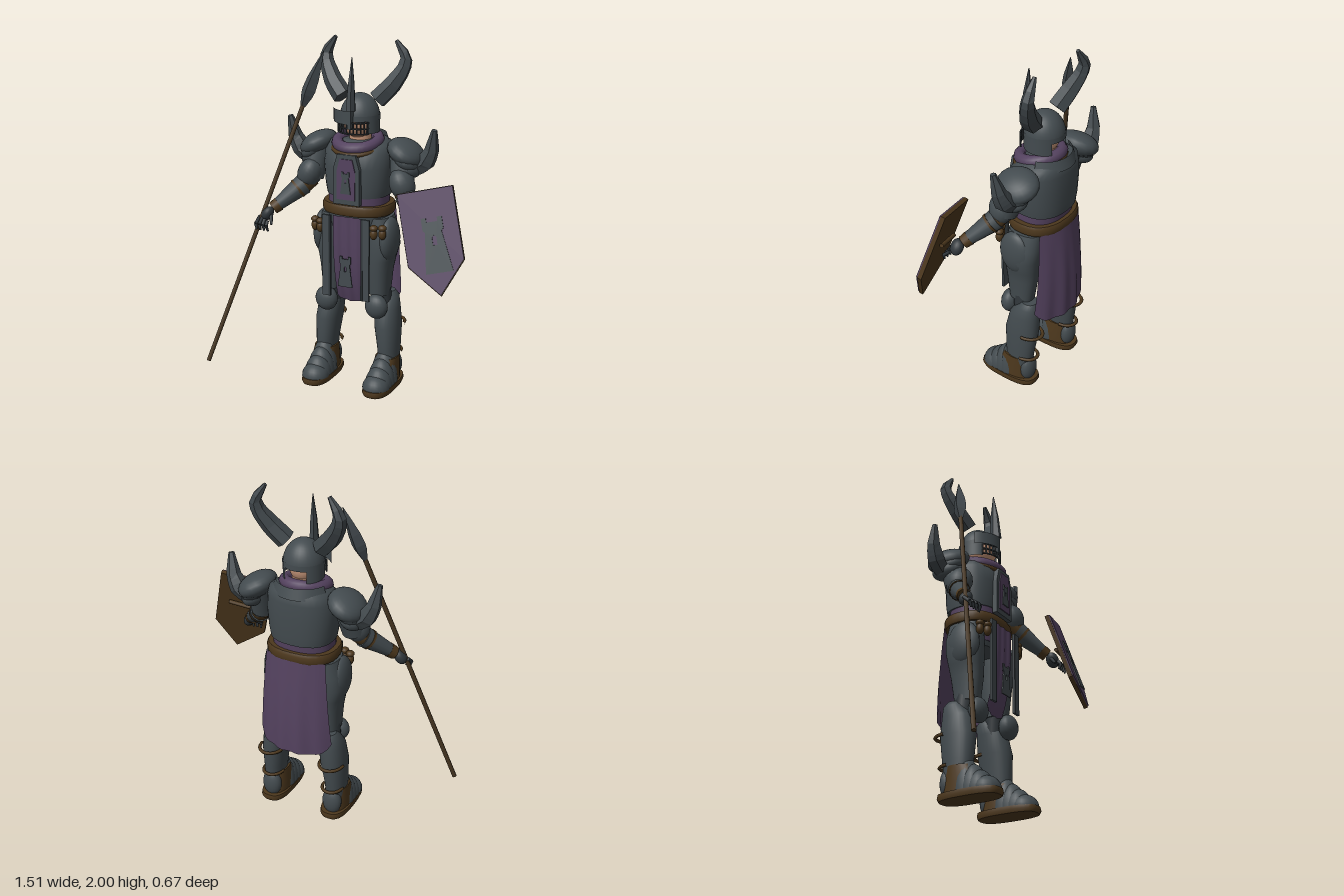
import * as THREE from 'three';

const mat = (name, color, side = THREE.FrontSide) => {
  const m = new THREE.MeshStandardMaterial({ color, side });
  m.name = name;
  return m;
};
const V = (x, y, z) => new THREE.Vector3(x, y, z);

export function createModel() {
  const root = new THREE.Group();
  root.name = 'armouredGuard';
  const body = new THREE.Group(); // symmetric about its own x = 0
  body.name = 'body';
  body.position.x = 0.015;
  root.add(body);

  const steel = mat('steel', 0x434b4f, THREE.DoubleSide);
  const spikeSteel = mat('facetedSteel', 0x41484c);
  spikeSteel.flatShading = true;
  const dark = mat('darkSteel', 0x30363a);
  const purple = mat('purpleCloth', 0x54425f, THREE.DoubleSide);
  const leather = mat('leather', 0x4d381d);
  const wood = mat('wood', 0x493823);
  const skin = mat('skin', 0xc8977a);

  const add = (name, geo, m, parent = body, x = 0, y = 0, z = 0) => {
    const mesh = new THREE.Mesh(geo, m);
    mesh.name = name;
    mesh.position.set(x, y, z);
    parent.add(mesh);
    return mesh;
  };
  const ball = (name, m, p, r) => {
    const b = add(name, new THREE.SphereGeometry(1, 20, 14), m, body, ...p);
    b.scale.set(...r);
    return b;
  };
  // Tapered cylinder between two points
  const limb = (name, a, b, r0, r1, m, parent = body, sides = 14) => {
    const d = b.clone().sub(a);
    const mesh = add(name, new THREE.CylinderGeometry(r1, r0, d.length(), sides), m, parent);
    mesh.position.copy(a).addScaledVector(d, 0.5);
    mesh.quaternion.setFromUnitVectors(V(0, 1, 0), d.normalize());
    return mesh;
  };
  // Closed solid from rounded sections [y, rx, rz, cx, cz], bottom to top
  const loft = (rings, power = 2.4, n = 28) => {
    const pos = [], idx = [];
    const ring = ([y, rx, rz, cx, cz]) => {
      for (let j = 0; j < n; j++) {
        const a = j / n * Math.PI * 2, c = Math.cos(a), s = Math.sin(a);
        pos.push(cx + rx * Math.sign(c) * Math.abs(c) ** (2 / power), y,
          cz + rz * Math.sign(s) * Math.abs(s) ** (2 / power));
      }
    };
    rings.forEach(ring);
    for (let i = 0; i < rings.length - 1; i++) for (let j = 0; j < n; j++) {
      const a = i * n + j, b = i * n + (j + 1) % n;
      idx.push(a, a + n, b, b, a + n, b + n);
    }
    [rings[0], rings[rings.length - 1]].forEach((r, top) => {
      const s = pos.length / 3;
      ring(r);
      pos.push(r[3], r[0], r[4]);
      for (let j = 0; j < n; j++) {
        const a = s + j, b = s + (j + 1) % n;
        if (top) idx.push(s + n, b, a); else idx.push(s + n, a, b);
      }
    });
    const g = new THREE.BufferGeometry();
    g.setAttribute('position', new THREE.Float32BufferAttribute(pos, 3));
    g.setIndex(idx);
    g.computeVertexNormals();
    return g;
  };
  // Faceted horn along a curve, radii spread evenly along it, ends closed
  const horn = (name, pts, radii, parent = body, sides = 6) => {
    const curve = new THREE.CatmullRomCurve3(pts, false, 'catmullrom', 0.1), seg = 10;
    const g = new THREE.TubeGeometry(curve, seg, 1, sides), p = g.attributes.position, v = V(0, 0, 0);
    for (let i = 0; i <= seg; i++) {
      const c = curve.getPointAt(i / seg), t = i <= 1 ? 0 : i >= seg - 1 ? 1 : i / seg;
      const to = curve.getPointAt(t), f = t * (radii.length - 1), k = Math.min(radii.length - 2, Math.floor(f));
      const r = i % seg === 0 ? 0 : THREE.MathUtils.lerp(radii[k], radii[k + 1], f - k);
      for (let j = 0; j <= sides; j++) {
        const q = i * (sides + 1) + j;
        v.fromBufferAttribute(p, q).sub(c).multiplyScalar(r).add(to);
        p.setXYZ(q, v.x, v.y, v.z);
      }
    }
    g.computeVertexNormals();
    return add(name, g, spikeSteel, parent);
  };
  const shape = pts => new THREE.Shape(pts.map(p => new THREE.Vector2(...p)));
  const plate = (pts, depth) => new THREE.ExtrudeGeometry(shape(pts), { depth, bevelEnabled: false });
  // Heraldic tower with a door hole
  const tower = (name, h, parent, x, y, z) => {
    const s = shape([[-0.25, 0], [0.25, 0], [0.15, 0.74], [0.19, 0.78], [0.19, 1], [0.1, 1], [0.1, 0.92],
      [-0.1, 0.92], [-0.1, 1], [-0.19, 1], [-0.19, 0.78], [-0.15, 0.74]]);
    s.holes.push(new THREE.Path([[-0.04, 0.5], [-0.04, 0.64], [0, 0.68], [0.04, 0.64], [0.04, 0.5]].map(p => new THREE.Vector2(...p))));
    const t = add(name, new THREE.ExtrudeGeometry(s, { depth: 0.007, bevelEnabled: false }), steel, parent, x, y, z);
    t.scale.set(h, h, 1);
  };
  // Hanging cloth: f(u, t) gives [x, y, z], u from -1 to 1, t from top to bottom
  const cloth = (name, f) => {
    const g = new THREE.PlaneGeometry(2, 1, 24, 14), p = g.attributes.position;
    for (let i = 0; i < p.count; i++) p.setXYZ(i, ...f(p.getX(i), 0.5 - p.getY(i)));
    g.computeVertexNormals();
    add(name, g, purple);
  };

  // Torso, belt and cloth
  add('tunic', loft([[0.93, 0.17, 0.13, 0, -0.13], [1.2, 0.174, 0.148, 0, -0.137]]), purple);
  add('cuirass', loft([[1.135, 0.18, 0.154, 0, -0.14], [1.19, 0.19, 0.16, 0, -0.14], [1.3, 0.2, 0.163, 0, -0.14],
    [1.38, 0.195, 0.155, 0, -0.145], [1.425, 0.178, 0.13, 0, -0.165], [1.445, 0.14, 0.1, 0, -0.175]]), steel);
  add('backPlateRim', new THREE.CylinderGeometry(0.15, 0.17, 0.06, 20, 1, true, Math.PI * 0.6, Math.PI * 0.8), steel, body, 0, 1.445, -0.14);
  add('belt', loft([[1.03, 0.2, 0.16, 0, -0.135], [1.045, 0.207, 0.168, 0, -0.135], [1.075, 0.207, 0.168, 0, -0.135],
    [1.09, 0.2, 0.16, 0, -0.135]]), leather);
  add('fauld', loft([[0.9, 0.17, 0.12, 0, -0.13], [1.03, 0.19, 0.14, 0, -0.13]]), steel);
  const collar = (name, r, tube, m, y) => {
    const c = add(name, new THREE.TorusGeometry(r, tube, 10, 32), m, body, 0, y, -0.115);
    c.rotation.x = Math.PI / 2 + 0.22;
  };
  collar('scarf', 0.114, 0.034, purple, 1.437);
  collar('gorgetStrap', 0.139, 0.013, leather, 1.412);
  add('chestFrame', plate([[-0.08, 1.1], [0.08, 1.1], [0.08, 1.3], [0.055, 1.385], [-0.055, 1.385], [-0.08, 1.3]], 0.03), steel, body, 0, 0, 0.008);
  add('chestPanel', plate([[-0.056, 1.13], [0.056, 1.13], [0.056, 1.29], [0.038, 1.36], [-0.038, 1.36], [-0.056, 1.29]], 0.006), purple, body, 0, 0, 0.038);
  tower('chestTower', 0.125, body, 0, 1.165, 0.043);
  cloth('frontTabard', (u, t) => [u * 0.085, 1.03 - 0.5 * t - 0.02 * t * (1 - u * u), 0.035 - 0.06 * t ** 3 + 0.004 * Math.cos(u * 9)]);
  tower('tabardTower', 0.18, body, 0, 0.62, 0.045);
  cloth('rearCape', (u, t) => {
    const x = u * (0.18 + 0.04 * t);
    return [x, 1.04 - 0.57 * t + 0.06 * t * u ** 8, -0.3 - 0.033 * Math.sin(t * 1.8) + 1.75 * x * x + 0.006 * t * Math.cos(u * 12)];
  });

  // Neck, head and helmet
  limb('neck', V(0, 1.4, -0.15), V(0, 1.54, -0.14), 0.065, 0.062, skin);
  ball('face', skin, [0, 1.55, -0.125], [0.088, 0.1, 0.098]);
  const helmet = new THREE.Group();
  helmet.name = 'helmet';
  helmet.position.set(0, 0, -0.14);
  body.add(helmet);
  const dome = add('dome', new THREE.SphereGeometry(0.112, 28, 12, 0, Math.PI * 2, 0, Math.PI / 2), steel, helmet, 0, 1.565, 0);
  dome.scale.y = 1.21;
  const wrap = (name, r, h, y, from, sweep) =>
    add(name, new THREE.CylinderGeometry(r, r, h, 24, 1, true, from, sweep), steel, helmet, 0, y, 0);
  wrap('brim', 0.114, 0.03, 1.572, 0, Math.PI * 2);
  for (const s of [-1, 1]) wrap('cheekGuard', 0.112, 0.085, 1.53, s > 0 ? 0.75 : -2.55, 1.8);
  wrap('visorFlap', 0.146, 0.075, 1.583, -1.15, 1.1);
  for (const y of [1.492, 1.522, 1.555]) {
    const bar = add('grillRail', new THREE.TorusGeometry(0.115, 0.005, 5, 18, 1.9), dark, helmet, 0, y, 0.018);
    bar.rotation.set(Math.PI / 2, 0, Math.PI / 2 - 0.95);
  }
  for (let i = -5; i <= 5; i++) {
    const x = 0.115 * Math.sin(i * 0.18), z = 0.115 * Math.cos(i * 0.18) + 0.018;
    limb('grillBar', V(x, 1.49, z), V(x, 1.56, z), 0.0045, 0.0045, dark, helmet, 5);
  }
  add('noseRidge', new THREE.BoxGeometry(0.022, 0.13, 0.035), steel, helmet, 0, 1.585, 0.128);
  horn('crestSpike', [V(0, 1.62, -0.02), V(0, 1.76, -0.026), V(0, 1.91, -0.035)], [0.038, 0.026, 0.003]).scale.x = 0.7;

  for (const s of [-1, 1]) {
    const P = (x, y, z) => V(s * x, y, z);
    horn('helmetHorn', [P(0.105, 1.67, -0.14), P(0.175, 1.745, -0.165), P(0.232, 1.835, -0.2), P(0.243, 1.9, -0.215), P(0.183, 1.99, -0.21)],
      [0.056, 0.054, 0.044, 0.032, 0.011]);

    // Shoulder
    const pauldron = ball('pauldron', steel, [s * 0.27, 1.385, -0.165], [0.11, 0.066, 0.125]);
    pauldron.rotation.z = -s * 0.5;
    [0, 1].forEach(i => {
      const l = ball('pauldronLame', steel, [s * (0.285 + i * 0.01), 1.35 - i * 0.04, -0.155], [0.086 - i * 0.012, 0.056, 0.105 - i * 0.015]);
      l.rotation.z = -s * 0.6;
    });
    horn('shoulderSpike', [P(0.31, 1.29, -0.165), P(0.38, 1.335, -0.17), P(0.42, 1.41, -0.165), P(0.442, 1.53, -0.145)],
      [0.046, 0.055, 0.037, 0.016]);

    // Arm
    limb('upperArm', P(0.255, 1.38, -0.15), P(0.28, 1.2, -0.095), 0.073, 0.068, steel);
    const couter = ball('elbowGuard', steel, [s * 0.285, 1.225, -0.08], [0.07, 0.092, 0.075]);
    couter.rotation.z = s * 0.4;
    limb('elbowSleeve', P(0.28, 1.2, -0.09), P(0.345, 1.125, -0.035), 0.056, 0.053, leather);
    limb('vambrace', P(0.316, 1.158, -0.062), P(0.435, 1.045, 0.045), 0.06, 0.036, steel);
    limb('vambraceStrap', P(0.338, 1.138, -0.043), P(0.346, 1.13, -0.036), 0.059, 0.058, leather);
    limb('wristBand', P(0.425, 1.052, 0.038), P(0.452, 1.028, 0.06), 0.041, 0.037, leather);
    const palm = ball('gauntlet', dark, [s * 0.475, 1.0, 0.085], [0.032, 0.048, 0.038]);
    palm.rotation.z = s * 0.6;
    for (let i = 0; i < 4; i++) {
      const k = P(0.515 - i * 0.022, 0.985 - i * 0.004, 0.1 + i * 0.012), m = P(0.522 - i * 0.026, 0.95, 0.14 + i * 0.006);
      limb('finger', k, m, 0.011, 0.01, dark, body, 6);
      limb('fingerTip', m, P(0.512 - i * 0.024, 0.918, 0.145), 0.01, 0.006, dark, body, 6);
    }
    limb('thumb', P(0.45, 1.0, 0.09), P(0.425, 0.955, 0.13), 0.012, 0.007, dark, body, 6);

    // Hanging straps, hip guard and pouches
    add('tassetStrip', new THREE.BoxGeometry(0.045, 0.48, 0.014), steel, body, s * 0.122, 0.79, 0.04);
    add('stripEdge', new THREE.BoxGeometry(0.012, 0.48, 0.016), dark, body, s * 0.1, 0.79, 0.041);
    ball('hipGuard', steel, [s * 0.205, 0.89, -0.1], [0.05, 0.13, 0.1]);
    [[0.165, 0.03], [0.208, 0.008]].forEach(([x, z]) => {
      ball('pouch', leather, [s * x, 0.95, z], [0.022, 0.032, 0.022]);
      ball('pouchFlap', leather, [s * x, 0.985, z], [0.024, 0.018, 0.024]);
    });

    // Leg
    add('cuisse', loft([[0.56, 0.056, 0.072, s * 0.148, -0.105], [0.7, 0.066, 0.092, s * 0.148, -0.108], [0.77, 0.074, 0.1, s * 0.153, -0.112],
      [0.85, 0.088, 0.108, s * 0.162, -0.115], [0.93, 0.086, 0.108, s * 0.152, -0.122], [1.02, 0.072, 0.1, s * 0.135, -0.125]]), steel);
    limb('kneeJoint', P(0.165, 0.42, -0.13), P(0.15, 0.62, -0.11), 0.055, 0.055, dark);
    ball('kneeGuard', steel, [s * 0.158, 0.5, -0.03], [0.068, 0.072, 0.05]);
    add('greave', loft([[0.12, 0.056, 0.078, s * 0.2, -0.125], [0.22, 0.06, 0.09, s * 0.198, -0.128], [0.36, 0.072, 0.103, s * 0.188, -0.135],
      [0.47, 0.072, 0.09, s * 0.176, -0.145], [0.53, 0.066, 0.068, s * 0.168, -0.165], [0.56, 0.045, 0.045, s * 0.165, -0.17]], 2.2), steel);
    [[0.19, 0.06, 0.162], [0.36, 0.07, 0.18]].forEach(([y, r, z]) => {
      const strap = add('greaveStrap', new THREE.TorusGeometry(r, 0.009, 6, 20, Math.PI), leather, body, s * 0.193, y, -z);
      strap.rotation.set(Math.PI / 2, 0, Math.PI);
      strap.scale.y = 1.25;
    });
    add('sole', loft([[0, 0.078, 0.18, s * 0.195, -0.053], [0.018, 0.085, 0.188, s * 0.195, -0.053], [0.038, 0.082, 0.184, s * 0.195, -0.053]], 2.8), leather);
    add('boot', loft([[0.035, 0.072, 0.14, s * 0.195, -0.07], [0.1, 0.07, 0.11, s * 0.195, -0.09], [0.18, 0.065, 0.08, s * 0.197, -0.11]]), leather);
    ball('heelCap', steel, [s * 0.197, 0.1, -0.185], [0.058, 0.085, 0.042]);
    for (let i = 0; i < 4; i++) {
      const lame = add('sabatonLame', new THREE.SphereGeometry(1, 20, 8, 0, Math.PI * 2, 0, Math.PI / 2), steel, body, s * 0.195, 0.036, 0.045 - 0.037 * i);
      lame.scale.set(0.08, 0.075 + 0.037 * i, 0.082 - 0.004 * i);
    }
  }

  // Spear
  const spear = new THREE.Group();
  spear.name = 'spear';
  root.add(spear);
  limb('spearShaft', V(-0.74, 0.13, 0.322), V(-0.292, 1.64, -0.065), 0.013, 0.013, wood, spear, 8);
  horn('spearHead', [V(-0.3, 1.61, -0.058), V(-0.255, 1.76, -0.097), V(-0.207, 1.915, -0.138)], [0.016, 0.042, 0.036, 0.02, 0.002], spear, 4);

  // Shield, tilted to lean out and back
  const shield = new THREE.Group();
  shield.name = 'shield';
  const across = V(0.285, 0.065, -0.085).normalize(), out = V(0.212, 0.292, 0.932).normalize();
  const up = out.clone().cross(across).normalize();
  shield.quaternion.setFromRotationMatrix(new THREE.Matrix4().makeBasis(across, up, out));
  shield.position.set(0.555, 1.08, 0.13);
  root.add(shield);
  const outline = k => [[-0.152, 0.195], [-0.152, -0.2], [0, -0.375], [0.152, -0.2], [0.152, 0.195]].map(([x, y]) => [x * k, y * k]);
  add('shieldBack', plate(outline(1), 0.024), leather, shield, 0, 0, -0.018);
  add('shieldFace', plate(outline(0.985), 0.008), purple, shield, 0, 0, 0.006);
  tower('shieldTower', 0.295, shield, 0.013, -0.25, 0.014);
  limb('shieldGrip', V(-0.08, 0, -0.035), V(0.08, 0, -0.035), 0.012, 0.012, leather, shield, 8);

  return root;
}
